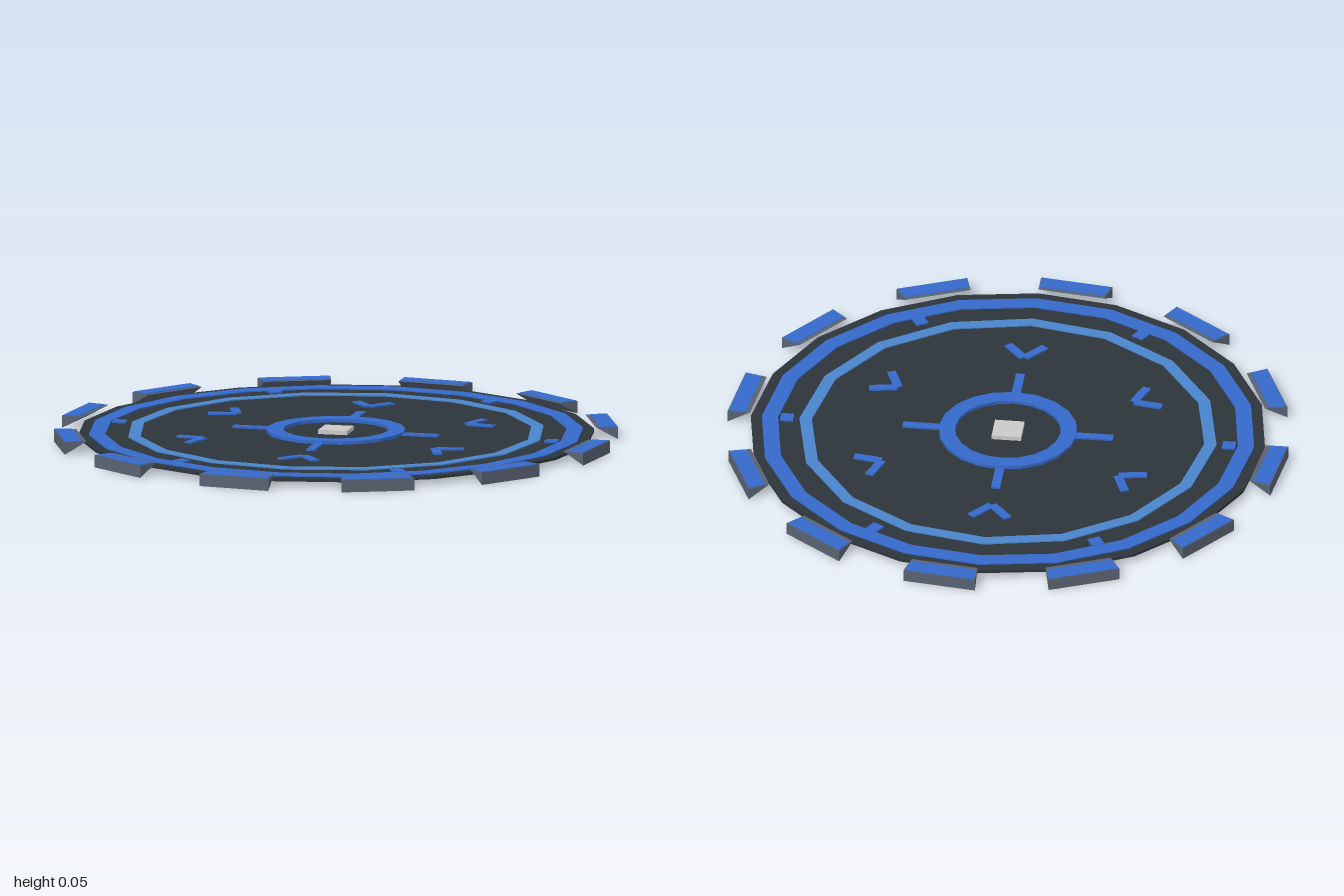
import * as THREE from 'three';
import { ConvexGeometry } from 'three/addons/geometries/ConvexGeometry.js';

const mat = (name, color) => {
  const m = new THREE.MeshStandardMaterial({ color });
  m.name = name;
  return m;
};

const DISC_TOP = 0.03;

// Faceted flat ring with a rectangular section
function ringGeometry(inner, outer, y0, y1, sides) {
  const profile = [[inner, y0], [outer, y0], [outer, y1], [inner, y1], [inner, y0]]
    .map(([r, y]) => new THREE.Vector2(r, y));
  const g = new THREE.LatheGeometry(profile, sides).toNonIndexed();
  g.computeVertexNormals();
  return g;
}

// Radial segment: a section of [radius, height] points swept straight between two angles
function segmentGeometry(section, a0, a1) {
  const pts = [];
  for (const deg of [a0, a1]) {
    const a = THREE.MathUtils.degToRad(deg);
    for (const [r, y] of section) pts.push(new THREE.Vector3(r * Math.sin(a), y, -r * Math.cos(a)));
  }
  return new ConvexGeometry(pts);
}

export function createModel() {
  const model = new THREE.Group();
  model.name = 'roundPad';

  const dark = mat('dark slate', 0x2d353a);
  const blue = mat('blue', 0x3469cb);
  const lightBlue = mat('light blue', 0x4a85cd);
  const grey = mat('steel grey', 0x5a6372);
  const pale = mat('pale grey', 0xcacaca);

  const add = (name, geometry, material, parent = model) => {
    const m = new THREE.Mesh(geometry, material);
    m.name = name;
    parent.add(m);
    return m;
  };

  // Repeats a part around the centre, starting at the back
  const around = (count, startDeg, name, build) => {
    for (let i = 0; i < count; i++) {
      const g = new THREE.Group();
      g.name = name;
      g.rotation.y = -THREE.MathUtils.degToRad(startDeg + (i * 360) / count);
      build(g);
      model.add(g);
    }
  };

  // Base disc
  const disc = new THREE.CylinderGeometry(0.917, 0.917, 0.01, 20).toNonIndexed();
  disc.computeVertexNormals();
  add('disc', disc, dark).position.y = DISC_TOP - 0.005;

  // Concentric rings
  add('outerRing', ringGeometry(0.82, 0.878, DISC_TOP - 0.002, 0.034, 20), blue);
  add('middleRing', ringGeometry(0.70, 0.744, DISC_TOP - 0.002, 0.034, 16), lightBlue);
  add('centreRing', ringGeometry(0.188, 0.246, DISC_TOP - 0.002, 0.042, 20), blue);

  // Centre plate
  add('centrePlate', new THREE.BoxGeometry(0.105, 0.016, 0.105), pale).position.y = 0.037;

  // Spokes on the four axes
  around(4, 0, 'spoke', (g) => {
    add('spokeBar', new THREE.BoxGeometry(0.032, 0.008, 0.145), blue, g).position.set(0, 0.033, -0.3025);
  });

  // Chevrons pointing to the centre
  around(6, 0, 'chevron', (g) => {
    for (const side of [-1, 1]) {
      const arm = add('chevronArm', new THREE.BoxGeometry(0.031, 0.007, 0.1), blue, g);
      arm.position.set(side * 0.034, 0.0325, -0.526);
      arm.rotation.y = -side * 0.69;
    }
  });

  // Small square studs between the rings
  around(6, 30, 'stud', (g) => {
    add('studBlock', new THREE.BoxGeometry(0.045, 0.007, 0.046), blue, g).position.set(0, 0.0325, -0.788);
  });

  // Wedge-shaped rim blocks with blue top panels
  const block = segmentGeometry([[1, 0], [1, 0.044], [0.92, 0.044]], 0, 15);
  const panel = segmentGeometry([[0.997, 0.043], [0.997, 0.046], [0.936, 0.046], [0.936, 0.043]], 0.2, 14.8);
  around(12, 0, 'rimBlock', (g) => {
    add('rimBlockBody', block, grey, g);
    add('rimBlockPanel', panel, blue, g);
  });

  return model;
}
